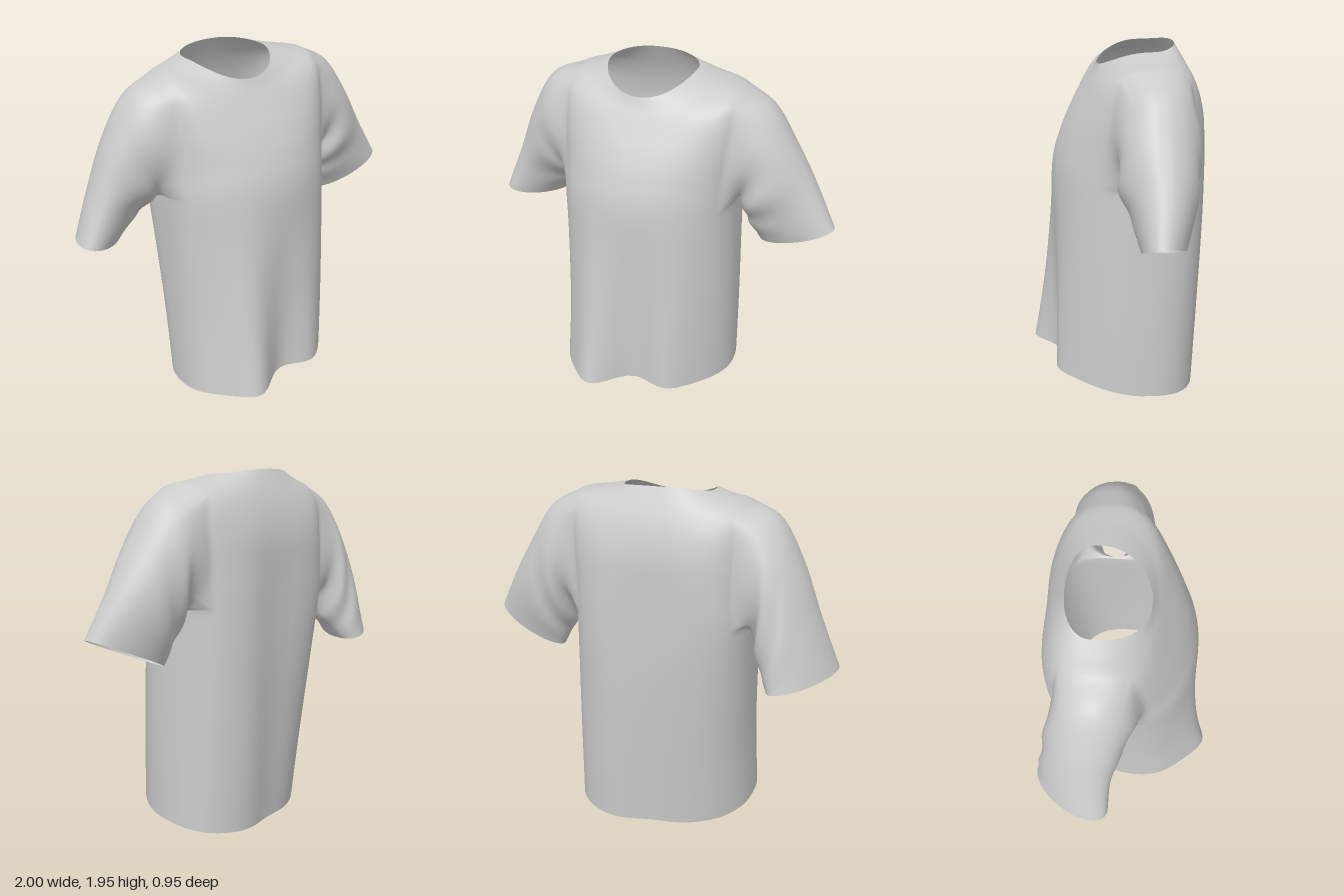
import * as THREE from 'three';

const COLS = 96, STEPS = 6, SLEEVE_STEPS = 22;

// Torso rings, hem to neck: front y, side y, back y, front z, back z, side z, centre x, half width,
// front squareness, back squareness, twist
const RINGS = [
  [0.11, 0.05, 0.00, 0.40, -0.395, 0.00, -0.018, 0.505, 2.15, 2.5, 0.155],
  [0.50, 0.48, 0.46, 0.385, -0.425, -0.02, -0.018, 0.497, 2.1, 2.75, 0.09],
  [0.98, 0.95, 0.95, 0.37, -0.45, -0.04, -0.030, 0.492, 2.1, 3.2, 0.035],
  [1.28, 1.23, 1.25, 0.355, -0.455, -0.05, -0.040, 0.490, 2.15, 3.7, 0.01],
  [1.45, 1.41, 1.43, 0.31, -0.455, -0.06, -0.035, 0.490, 2.2, 3.7, 0],
  [1.58, 1.61, 1.58, 0.25, -0.45, -0.07, -0.030, 0.500, 2.3, 3.5, 0],
  [1.68, 1.79, 1.69, 0.19, -0.43, -0.09, -0.025, 0.505, 2.3, 3.2, 0],
  [1.745, 1.865, 1.785, 0.15, -0.40, -0.12, -0.020, 0.470, 2.3, 2.8, 0],
  [1.79, 1.897, 1.87, 0.122, -0.362, -0.15, -0.040, 0.355, 2.15, 2.5, 0],
  [1.835, 1.925, 1.95, 0.10, -0.32, -0.165, -0.065, 0.245, 2.1, 2.3, 0],
];

// Sleeve rings, shoulder to cuff: top x, top y, bottom x, bottom y, front z, back z, z tilt
const LEFT_SLEEVE = [
  [0.60, 1.785, 0.465, 1.23, 0.065, -0.36, 0],
  [0.74, 1.585, 0.495, 1.13, 0.065, -0.345, 0],
  [0.87, 1.365, 0.535, 1.04, 0.02, -0.31, 0.01],
  [1.0, 1.13, 0.58, 0.95, -0.02, -0.25, 0.035],
];
const RIGHT_SLEEVE = [
  [0.64, 1.805, 0.545, 1.19, 0.06, -0.385, 0.02],
  [0.775, 1.59, 0.58, 1.11, 0.0, -0.415, 0.05],
  [0.89, 1.30, 0.625, 1.03, -0.065, -0.43, 0.08],
  [1.0, 1.02, 0.67, 0.95, -0.10, -0.43, 0.12],
];

// Armhole limits in the torso grid
const HOLE = { back: -10, front: 7, low: 3 * STEPS, high: 7 * STEPS };

const bump = (x, centre, width) => Math.exp(-(((x - centre) / width) ** 2));
const power = (v, e) => Math.sign(v) * Math.abs(v) ** e;

function ringAt(row) {
  const k = Math.min(Math.floor(row), RINGS.length - 2), t = row - k;
  const at = (i) => RINGS[Math.max(0, Math.min(RINGS.length - 1, i))];
  return RINGS[0].map((_, c) => {
    const [a, b, d, e] = [at(k - 1)[c], at(k)[c], at(k + 1)[c], at(k + 2)[c]];
    return b + 0.5 * t * (d - a + t * (2 * a - 5 * b + 4 * d - e + t * (3 * (b - d) + e - a)));
  });
}

function torsoPoint(row, col) {
  const [yf, ys, yb, zf, zb, zs, cx, hw, nf, nb, twist] = ringAt(row);
  const angle = (col / COLS) * Math.PI * 2, c = Math.cos(angle), s = Math.sin(angle);
  const n = s > 0 ? nf : nb;
  const x = cx + hw * power(c, 2 / n);
  const reach = Math.abs(s) ** (2 / n);
  // Straight slanted hem, curved shoulder rings
  const y = ys + ((s > 0 ? yf : yb) - ys) * Math.abs(s) ** Math.min(2, 1 + row / 2);
  let z = zs + ((s > 0 ? zf : zb) - zs) * reach - twist * (x - cx);
  // Draped folds, deepest at the front hem
  if (s > 0) {
    const fade = Math.max(0, 1 - y / 1.25) ** 1.2;
    z += fade * reach * (0.105 * bump(x, -0.28, 0.13) - 0.075 * bump(x, -0.02, 0.13) + 0.045 * bump(x, 0.22, 0.12));
  } else {
    const fade = Math.max(0, Math.min(1, (1.75 - y) / 0.4));
    z += fade * reach * (0.016 * bump(x, -0.02, 0.13) - 0.012 * bump(x, 0.2, 0.14));
  }
  return new THREE.Vector3(x, y, z);
}

// Grid indices around one armhole: top, front, bottom, back
function armholeLoop(side, index) {
  const { back, front, low, high } = HOLE, loop = [];
  const add = (row, k) => loop.push(index(row, side > 0 ? k : COLS / 2 - k));
  for (let k = back; k < front; k++) add(high, k);
  for (let r = high; r > low; r--) add(r, front);
  for (let k = front; k > back; k--) add(low, k);
  for (let r = low; r < high; r++) add(r, back);
  return loop;
}

export function createModel() {
  const points = [], rows = (RINGS.length - 1) * STEPS;
  const index = (row, col) => row * COLS + ((col + COLS) % COLS);
  for (let r = 0; r <= rows; r++)
    for (let c = 0; c < COLS; c++) points.push(torsoPoint(r / STEPS, c));

  // Torso faces, leaving both armholes open
  const inHole = (r, c) => {
    if (r < HOLE.low || r >= HOLE.high) return false;
    const left = c >= COLS / 2 ? c - COLS : c, right = COLS / 2 - 1 - c;
    return [left, right].some((k) => k >= HOLE.back && k < HOLE.front);
  };
  const torso = [];
  for (let r = 0; r < rows; r++)
    for (let c = 0; c < COLS; c++) {
      if (inHole(r, c)) continue;
      const a = index(r, c), b = index(r, c + 1), d = index(r + 1, c), e = index(r + 1, c + 1);
      torso.push(a, d, b, b, d, e);
    }

  // Sleeves grow out of the armhole edge towards the cuff
  function sleeve(side, rings) {
    const loop = armholeLoop(side, index), faces = [], count = loop.length;
    const mid = loop.reduce((m, i) => m.add(points[i]), new THREE.Vector3()).divideScalar(count);
    const strands = loop.map((start) => {
      const p = points[start];
      const phi = Math.atan2((p.z - mid.z) / 0.21, (p.y - mid.y) / 0.3);
      const c = Math.cos(phi), s = Math.sin(phi);
      const path = rings.map(([tx, ty, bx, by, zf, zb, tilt]) => new THREE.Vector3(
        side * ((tx + bx) / 2 + (c * (tx - bx)) / 2),
        (ty + by) / 2 + (c * (ty - by)) / 2,
        (zf + zb) / 2 + (s * (zf - zb)) / 2 + tilt * c));
      const curve = new THREE.CatmullRomCurve3([p.clone(), ...path], false, 'centripetal');
      const ids = [start];
      for (let j = 1; j <= SLEEVE_STEPS; j++) {
        const t = j / SLEEVE_STEPS, q = curve.getPoint(t);
        // Soft bunching near the underarm
        const wrinkle = 0.008 * Math.sin(t * Math.PI) ** 2 * (1 - c) * Math.sin(t * 17 + phi * 3);
        q.z += wrinkle * s;
        q.x -= side * wrinkle * 0.5;
        ids.push(points.push(q) - 1);
      }
      return ids;
    });
    for (let i = 0; i < count; i++) {
      const p = strands[i], q = strands[(i + 1) % count];
      for (let j = 0; j < SLEEVE_STEPS; j++) {
        if (side > 0) faces.push(p[j], q[j], p[j + 1], q[j], q[j + 1], p[j + 1]);
        else faces.push(p[j], p[j + 1], q[j], q[j], p[j + 1], q[j + 1]);
      }
    }
    return faces;
  }
  const parts = { torso, leftSleeve: sleeve(1, LEFT_SLEEVE), rightSleeve: sleeve(-1, RIGHT_SLEEVE) };

  // Shared positions and normals keep the shoulder seams smooth
  const whole = new THREE.BufferGeometry().setFromPoints(points);
  whole.setIndex(Object.values(parts).flat());
  whole.computeVertexNormals();

  const material = new THREE.MeshStandardMaterial({ color: 0xcccccc, side: THREE.DoubleSide });
  const group = new THREE.Group();
  group.name = 'tShirt';
  for (const [name, faces] of Object.entries(parts)) {
    const geometry = new THREE.BufferGeometry();
    geometry.setAttribute('position', whole.getAttribute('position'));
    geometry.setAttribute('normal', whole.getAttribute('normal'));
    geometry.setIndex(faces);
    const mesh = new THREE.Mesh(geometry, material);
    mesh.name = name;
    group.add(mesh);
  }
  return group;
}
